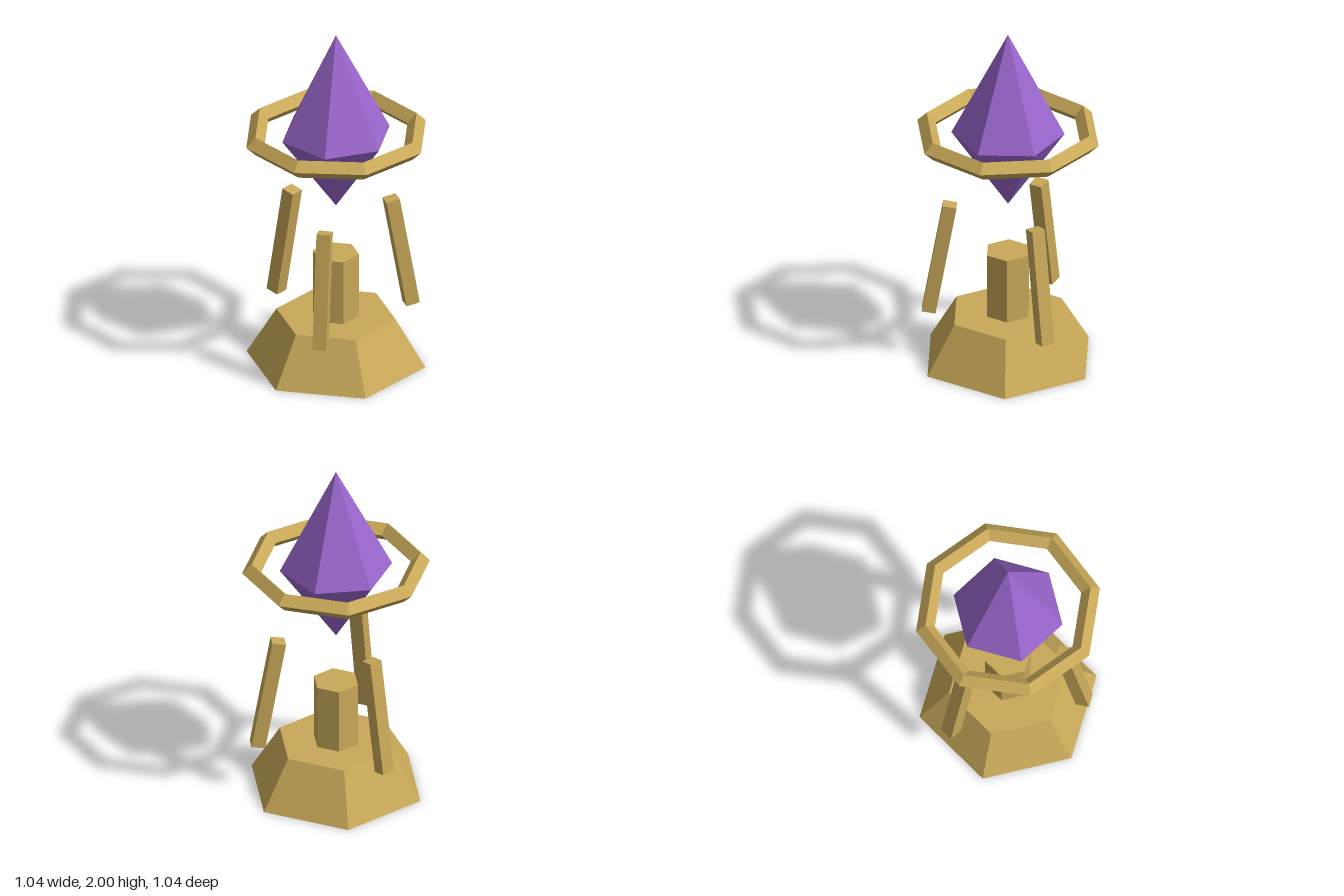
import * as THREE from 'three';

export function createModel() {
  const model = new THREE.Group();
  const gold = new THREE.MeshStandardMaterial({ color: 0xc9a959, flatShading: true });
  gold.name = 'gold';
  const purple = new THREE.MeshStandardMaterial({ color: 0x9966cc, flatShading: true });
  purple.name = 'purple';

  function add(name, geometry, material, y, parent = model) {
    const mesh = new THREE.Mesh(geometry, material);
    mesh.name = name;
    mesh.position.y = y;
    parent.add(mesh);
    return mesh;
  }

  // Hexagonal plinth and the stub column on it
  add('base', new THREE.CylinderGeometry(0.333, 0.5, 0.28, 6), gold, 0.14);
  add('column', new THREE.CylinderGeometry(0.13, 0.13, 0.38, 6), gold, 0.47);

  // Three floating prongs leaning inward
  for (let i = 0; i < 3; i++) {
    const pivot = new THREE.Group();
    pivot.name = 'prong' + (i + 1);
    pivot.rotation.y = (i * Math.PI * 2) / 3;
    const prong = add('prongBar', new THREE.BoxGeometry(0.077, 0.665, 0.077), gold, 0.613, pivot);
    prong.position.x = 0.377;
    prong.rotation.z = THREE.MathUtils.degToRad(10);
    model.add(pivot);
  }

  // Crystal: two hexagonal cones sharing a girdle, corners on the x axis
  const girdle = 1.39;
  const upper = new THREE.ConeGeometry(0.311, 0.61, 6, 1, true).rotateY(Math.PI / 6);
  const lower = new THREE.ConeGeometry(0.311, 0.44, 6, 1, true).rotateX(Math.PI).rotateY(Math.PI / 6);
  add('crystalTop', upper, purple, girdle + 0.305);
  add('crystalBottom', lower, purple, girdle - 0.22);

  // Octagonal ring with a diamond section
  const ring = new THREE.TorusGeometry(0.467, 0.053, 4, 8).rotateX(Math.PI / 2);
  add('ring', ring, gold, girdle);

  return model;
}
